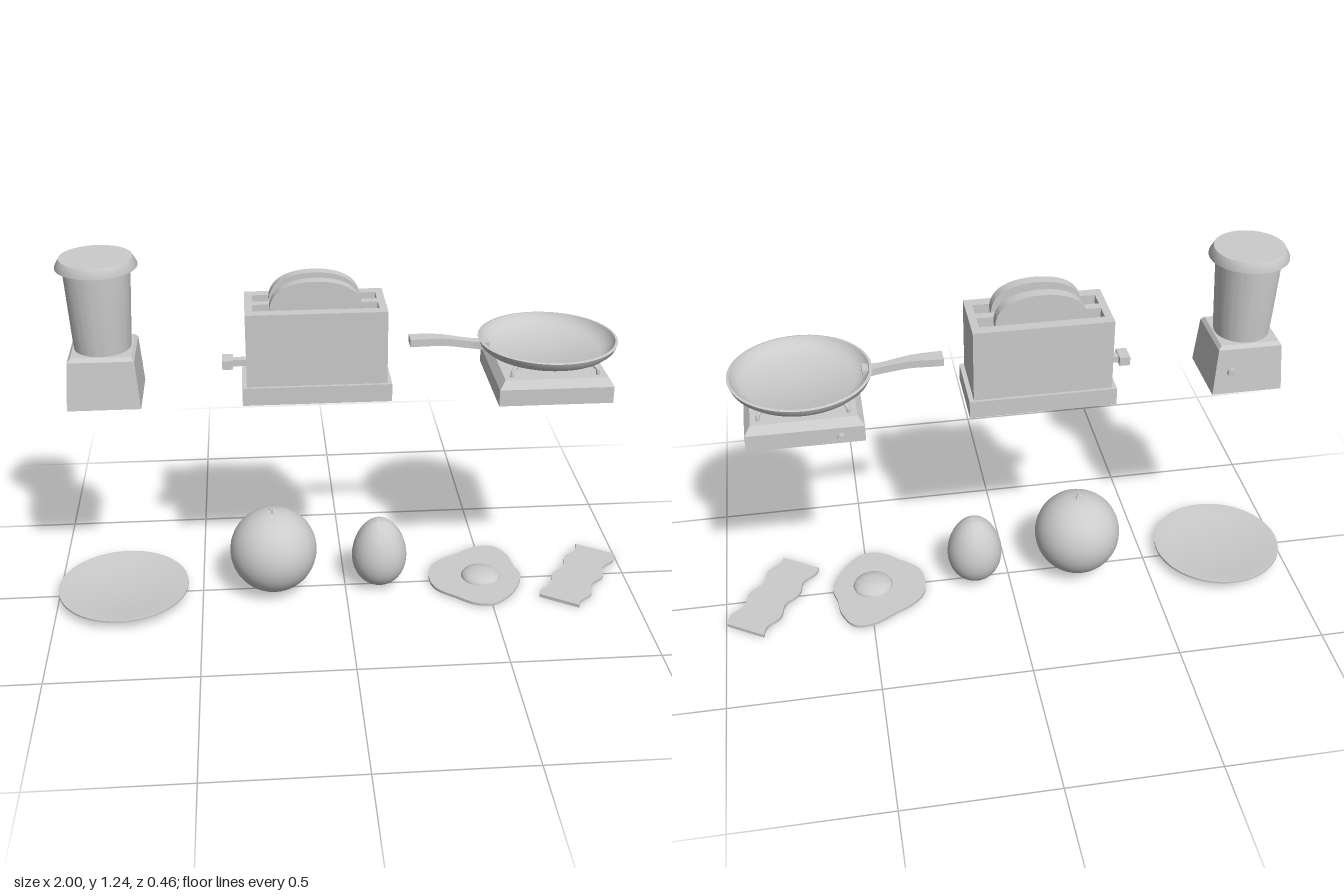
import * as THREE from 'three';
import { toCreasedNormals } from 'three/addons/utils/BufferGeometryUtils.js';

const grey = new THREE.MeshStandardMaterial({ color: 0xcccccc, side: THREE.DoubleSide });
const V2 = (x, y) => new THREE.Vector2(x, y);

function part(parent, name, geometry, x = 0, y = 0, z = 0) {
  const mesh = new THREE.Mesh(toCreasedNormals(geometry, 0.55), grey);
  mesh.name = name;
  mesh.position.set(x, y, z);
  parent.add(mesh);
  return mesh;
}

function group(parent, name, x = 0, y = 0) {
  const g = new THREE.Group();
  g.name = name;
  g.position.set(x, y, 0);
  parent.add(g);
  return g;
}

const box = (w, h, d) => new THREE.BoxGeometry(w, h, d);
const lathe = (pts, n = 64) => new THREE.LatheGeometry(pts.map(p => V2(...p)), n);

// Square frustum given half-widths, standing on y = 0
const frustum = (bottom, top, h) =>
  new THREE.CylinderGeometry(top * Math.SQRT2, bottom * Math.SQRT2, h, 4).rotateY(Math.PI / 4).translate(0, h / 2, 0);

// Flat slab from a shape drawn as (x, -z), standing on y = 0
const slab = (shape, h) =>
  new THREE.ExtrudeGeometry(shape, { depth: h, bevelEnabled: false, curveSegments: 24 }).rotateX(-Math.PI / 2);

// Small control knob pointing to -z
function knob(parent, x, y, z) {
  part(parent, 'knobStem', new THREE.CylinderGeometry(0.007, 0.007, 0.02, 16).rotateX(Math.PI / 2), x, y, z);
  part(parent, 'knob', new THREE.CylinderGeometry(0.013, 0.013, 0.012, 20).rotateX(Math.PI / 2), x, y, z - 0.013);
}

function addBlender(root) {
  const g = group(root, 'blender', -0.777, 0.77);
  part(g, 'blenderBase', frustum(0.117, 0.105, 0.16));
  part(g, 'blenderBaseBevel', frustum(0.105, 0.095, 0.012), 0, 0.16);
  part(g, 'jar', lathe([[0, 0.172], [0.09, 0.172], [0.094, 0.22], [0.106, 0.44], [0.106, 0.45], [0, 0.45]]));
  part(g, 'lid', lathe([[0.104, 0.441], [0.128, 0.441], [0.128, 0.446], [0.114, 0.472], [0, 0.472]]));
  knob(g, 0.063, 0.085, -0.114);
}

function addToaster(root) {
  const g = group(root, 'toaster', -0.097, 0.77);
  part(g, 'toasterBase', box(0.48, 0.06, 0.236), 0, 0.03);
  // Body with two slots
  const rect = (path, w, h, y) => path.moveTo(-w, y - h).lineTo(w, y - h).lineTo(w, y + h).lineTo(-w, y + h).closePath();
  const shape = rect(new THREE.Shape(), 0.225, 0.108, 0);
  for (const s of [-1, 1]) shape.holes.push(rect(new THREE.Path(), 0.2, 0.028, s * 0.043));
  part(g, 'toasterBody', slab(shape, 0.244), 0, 0.06);
  // Bread slices with a rounded crown
  const bread = new THREE.Shape();
  bread.moveTo(-0.135, 0.1).lineTo(0.135, 0.1).lineTo(0.147, 0.3);
  bread.bezierCurveTo(0.145, 0.36, 0.09, 0.393, 0, 0.393);
  bread.bezierCurveTo(-0.09, 0.393, -0.145, 0.36, -0.147, 0.3);
  for (const s of [-1, 1]) {
    const slice = new THREE.ExtrudeGeometry(bread, { depth: 0.038, bevelEnabled: false, curveSegments: 20 });
    part(g, 'toastSlice', slice, 0, 0, s * 0.043 - 0.019);
  }
  part(g, 'leverStem', box(0.05, 0.022, 0.026), -0.247, 0.104);
  part(g, 'leverHandle', box(0.035, 0.03, 0.06), -0.285, 0.104);
}

function addStove(root) {
  const g = group(root, 'stove', 0.665, 0.77);
  part(g, 'stoveBase', frustum(0.185, 0.185, 0.056));
  part(g, 'stoveTop', frustum(0.185, 0.165, 0.026), 0, 0.056);
  part(g, 'burner', lathe([[0, 0.08], [0.06, 0.08], [0.066, 0.088], [0.076, 0.088], [0.076, 0.094], [0.068, 0.098], [0, 0.098]]));
  // Four bent pan supports on the diagonals
  for (const sx of [-1, 1]) for (const sz of [-1, 1]) {
    const pts = [[0.14, 0.078], [0.138, 0.098], [0.128, 0.108], [0.09, 0.11]]
      .map(([r, y]) => new THREE.Vector3(sx * r, y, sz * r));
    part(g, 'panSupport', new THREE.TubeGeometry(new THREE.CatmullRomCurve3(pts), 16, 0.006, 8));
  }
  knob(g, -0.11, 0.03, -0.19);
}

function addPan(root) {
  const g = group(root, 'fryingPan', 0.665, 0.878);
  part(g, 'pan', lathe([[0, 0], [0.14, 0], [0.175, 0.006], [0.205, 0.018], [0.221, 0.032], [0.228, 0.05],
    [0.219, 0.052], [0.212, 0.038], [0.195, 0.024], [0.175, 0.014], [0, 0.012]]));
  // Handle rises from the rim and widens towards its end
  const handle = box(0.26, 0.025, 1).toNonIndexed() && new THREE.BoxGeometry(0.26, 0.025, 1, 16, 1, 1);
  const p = handle.attributes.position;
  for (let i = 0; i < p.count; i++) {
    const t = p.getX(i) / 0.26 + 0.5;
    p.setY(i, p.getY(i) + 0.052 - 0.019 * THREE.MathUtils.smoothstep(t, 0.3, 0.95));
    p.setZ(i, p.getZ(i) * (0.052 - 0.022 * THREE.MathUtils.smoothstep(t, 0, 0.75)
      + 0.016 * THREE.MathUtils.smoothstep(t, 0.8, 1)));
  }
  part(g, 'panHandle', handle, -0.325);
}

function addFood(root) {
  part(root, 'plate', lathe([[0, 0.015], [0.185, 0.015], [0.2, 0.02], [0.225, 0.032], [0.225, 0.039],
    [0.216, 0.039], [0.165, 0.027], [0, 0.027]]), -0.775);

  // Orange with a small star-shaped calyx
  const fruit = group(root, 'orange', -0.25, 0.161);
  part(fruit, 'orangeBody', new THREE.SphereGeometry(0.15, 48, 32));
  const calyx = new THREE.ConeGeometry(0.026, 0.02, 10);
  const c = calyx.attributes.position;
  for (let i = 0; i < c.count; i++) {
    const a = Math.atan2(c.getZ(i), c.getX(i));
    const k = 0.75 + 0.25 * Math.cos(5 * a - Math.PI / 2);
    c.setXYZ(i, c.getX(i) * k, c.getY(i), c.getZ(i) * k);
  }
  part(fruit, 'orangeCalyx', calyx, 0, 0.155);

  // Egg, tapered towards the top
  const egg = [];
  for (let i = 0; i <= 32; i++) {
    const a = Math.PI * i / 32, h = -Math.cos(a);
    egg.push([Math.max(0, 0.095 * Math.sin(a) * (1 - 0.12 * h)), 0.137 + 0.127 * h]);
  }
  part(root, 'egg', lathe(egg, 48), 0.12);

  // Fried egg with a wavy white and a domed yolk
  const outline = [[0.3, 0], [0.315, -0.075], [0.36, -0.122], [0.42, -0.155], [0.5, -0.198], [0.565, -0.195],
    [0.605, -0.13], [0.615, -0.06], [0.628, 0], [0.61, 0.06], [0.565, 0.13], [0.5, 0.178], [0.44, 0.17],
    [0.38, 0.125], [0.315, 0.065]].map(([x, z]) => new THREE.Vector3(x, -z, 0));
  const loop = new THREE.CatmullRomCurve3(outline, true).getPoints(80);
  loop.pop();
  part(root, 'eggWhite', slab(new THREE.Shape(loop.map(v => V2(v.x, v.y))), 0.01), 0, 0.005);
  part(root, 'yolk', new THREE.SphereGeometry(1, 40, 12, 0, Math.PI * 2, 0, Math.PI / 2).scale(0.07, 0.031, 0.07), 0.485, 0.012);

  // Bacon strip with rippled long edges
  const strip = [];
  const ripple = t => 0.009 * Math.sin(t * Math.PI * 6 + 0.4);
  for (let i = 0; i <= 40; i++) strip.push(V2(-0.19 + 0.38 * i / 40, -0.073 + ripple(i / 40)));
  for (let i = 40; i >= 0; i--) strip.push(V2(-0.19 + 0.38 * i / 40, 0.073 + ripple(i / 40)));
  part(root, 'baconStrip', slab(new THREE.Shape(strip), 0.012), 0.837, 0.001, 0.01).rotation.y = 1.01;
}

export function createModel() {
  const root = new THREE.Group();
  root.name = 'breakfastSet';
  for (const add of [addBlender, addToaster, addStove, addPan, addFood]) add(root);
  return root;
}
